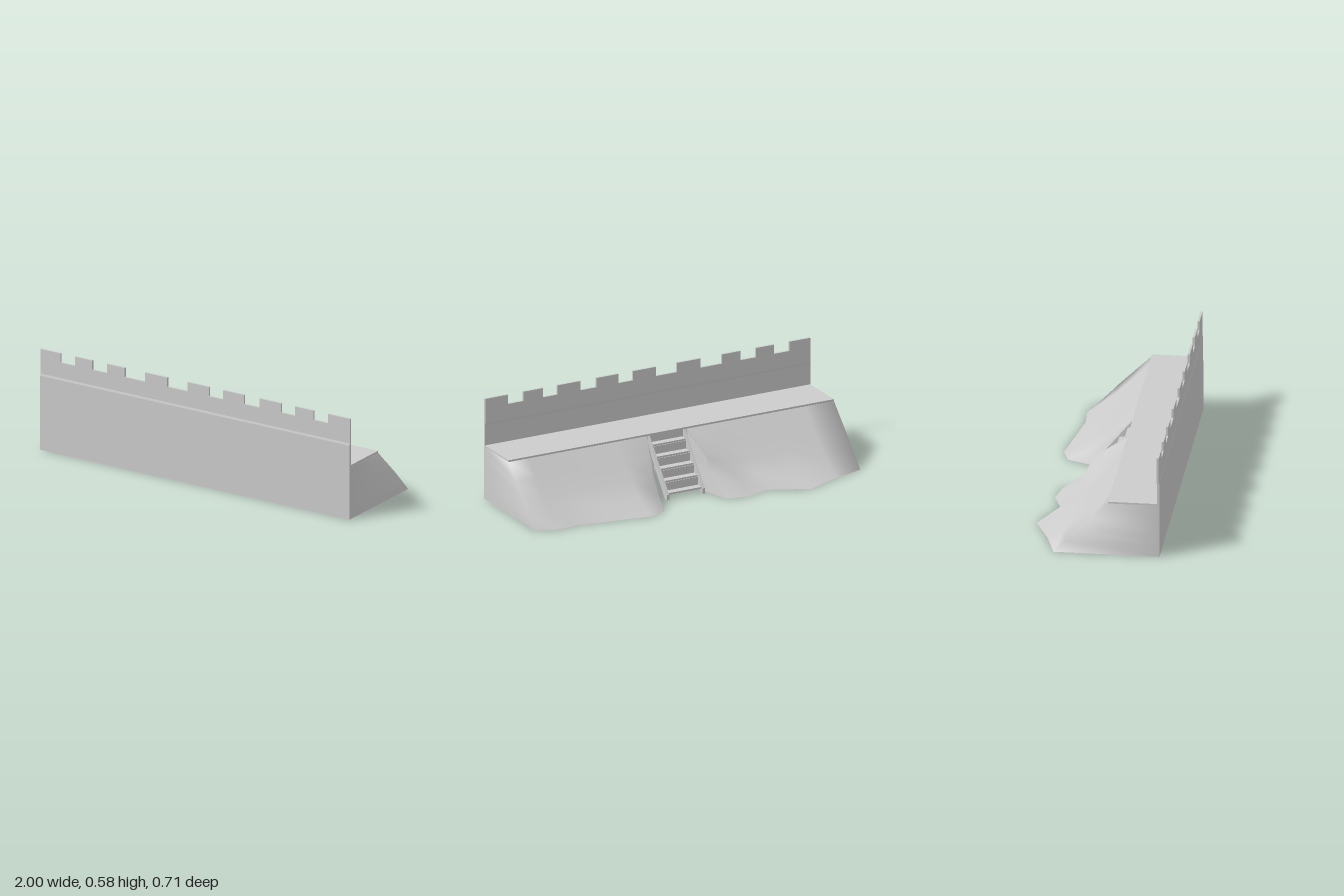
import * as THREE from 'three';

const mat = new THREE.MeshStandardMaterial({ color: 0xcccccc, side: THREE.DoubleSide });

function add(parent, name, geo) {
  const mesh = new THREE.Mesh(geo, mat);
  mesh.name = name;
  parent.add(mesh);
}

function box(parent, name, x0, x1, y0, y1, z0, z1) {
  const geo = new THREE.BoxGeometry(x1 - x0, y1 - y0, z1 - z0);
  geo.translate((x0 + x1) / 2, (y0 + y1) / 2, (z0 + z1) / 2);
  add(parent, name, geo);
}

// Side profile of [z, y] points, extruded from x0 to x1
function sideExtrude(parent, name, points, x0, x1) {
  const shape = new THREE.Shape(points.map(([z, y]) => new THREE.Vector2(z, y)));
  const geo = new THREE.ExtrudeGeometry(shape, { depth: x1 - x0, bevelEnabled: false });
  geo.rotateY(-Math.PI / 2);
  geo.translate(x1, 0, 0);
  add(parent, name, geo);
}

// Smooth skin through cross-sections, each running from top to ground
function skin(sections) {
  const rows = sections[0].length, index = [];
  for (let c = 0; c < sections.length - 1; c++)
    for (let r = 0; r < rows - 1; r++) {
      const a = c * rows + r, d = a + rows;
      index.push(a, d, a + 1, d, d + 1, a + 1);
    }
  const geo = new THREE.BufferGeometry();
  geo.setAttribute('position', new THREE.Float32BufferAttribute(sections.flat(2), 3));
  geo.setIndex(index);
  geo.computeVertexNormals();
  return geo;
}

const TOP = 0.30, EDGE = 0.075, FRONT = 0.353;

// Earth cross-section: toe position and shoulder height
function section(x, toe, mid = 0.13) {
  return [
    [x, TOP, EDGE],
    [x, (TOP + mid) / 2, -0.013],
    [x, mid, -0.1],
    [x, 0.065, Math.max(-0.18, (toe - 0.1) / 2)],
    [x, 0, toe],
  ];
}

const flatten = (s) => s.map(([x, y]) => [x, y, FRONT]);

// Vertical edge of the bank next to the stairs
const inner = (x) => [0, 0.25, 0.5, 0.75, 1].map((t) => [x, TOP * (1 - t), EDGE - 0.16 * t]);

export function createModel() {
  const root = new THREE.Group();
  root.name = 'rampart';

  // Wall: thin below the walkway, with a small sloping ledge under the parapet
  sideExtrude(root, 'lowerWall', [[0.355, 0], [0.354, 0.425], [0.351, 0.437], [0.339, 0.437],
    [0.341, 0.425], [0.341, TOP], [FRONT, TOP], [FRONT, 0]], -1, 1);

  // Crenellated parapet
  const merlons = [[-1, -0.87], [-0.775, -0.665], [-0.57, -0.455], [-0.325, -0.18], [-0.05, 0.09],
    [0.18, 0.315], [0.415, 0.555], [0.645, 0.765], [0.86, 1]];
  const outline = [[-1, 0.437]];
  for (const [a, b] of merlons) {
    if (a > -1) outline.push([a, 0.525]);
    outline.push([a, 0.578], [b, 0.578]);
    if (b < 1) outline.push([b, 0.525]);
  }
  outline.push([1, 0.437]);
  const parapet = new THREE.ExtrudeGeometry(
    new THREE.Shape(outline.map(([x, y]) => new THREE.Vector2(x, y))),
    { depth: 0.012, bevelEnabled: false });
  parapet.translate(0, 0, 0.339);
  add(root, 'parapet', parapet);

  // Walkway behind the parapet
  box(root, 'walkway', -1, 1, TOP, 0.31, EDGE, 0.341);

  // Hollow earth bank in two halves, with the end faces wrapped round
  const rightBank = [
    section(-1, -0.222),
    section(-0.82, -0.275),
    section(-0.625, -0.358),
    section(-0.4, -0.255, 0.125),
    section(-0.275, -0.30),
    // Shoulder standing proud beside the stairs
    [[-0.09, TOP, EDGE], [-0.105, 0.243, -0.015], [-0.12, 0.187, -0.105],
      [-0.124, 0.113, -0.12], [-0.145, 0, -0.275]],
  ];
  const leftBank = [
    inner(0.152),
    // Edge fanning out from the top of the stairs
    [[0.152, TOP, EDGE], [0.18, 0.215, -0.013], [0.21, 0.13, -0.1],
      [0.222, 0.065, -0.18], [0.24, 0, -0.29]],
    section(0.34, -0.325),
    section(0.58, -0.285, 0.125),
    section(0.76, -0.255, 0.125),
    section(0.88, -0.265),
    section(1, -0.222),
  ];
  add(root, 'rightBank', skin([flatten(rightBank[0]), ...rightBank]));
  add(root, 'leftBank', skin([...leftBank, flatten(leftBank.at(-1))]));
  add(root, 'rightCheek', skin([rightBank.at(-1), inner(-0.092)]));

  // Stairs: two sloping stringers, thin treads and risers
  const stairs = new THREE.Group();
  stairs.name = 'stairs';
  root.add(stairs);
  const stringer = [[0.075, 0.30], [-0.145, 0.03], [-0.145, 0], [-0.125, 0], [0.075, 0.25]];
  for (const x of [-0.088, 0.132]) sideExtrude(stairs, 'stringer', stringer, x, x + 0.015);
  for (let i = 0; i < 5; i++) {
    const z = -0.132 + i * 0.045, y = 0.035 + i * 0.055;
    box(stairs, 'tread', -0.075, 0.134, y - 0.01, y, z, z + 0.045);
    box(stairs, 'riser', -0.075, 0.134, y, y + 0.045, z + 0.041, z + 0.045);
  }
  return root;
}
